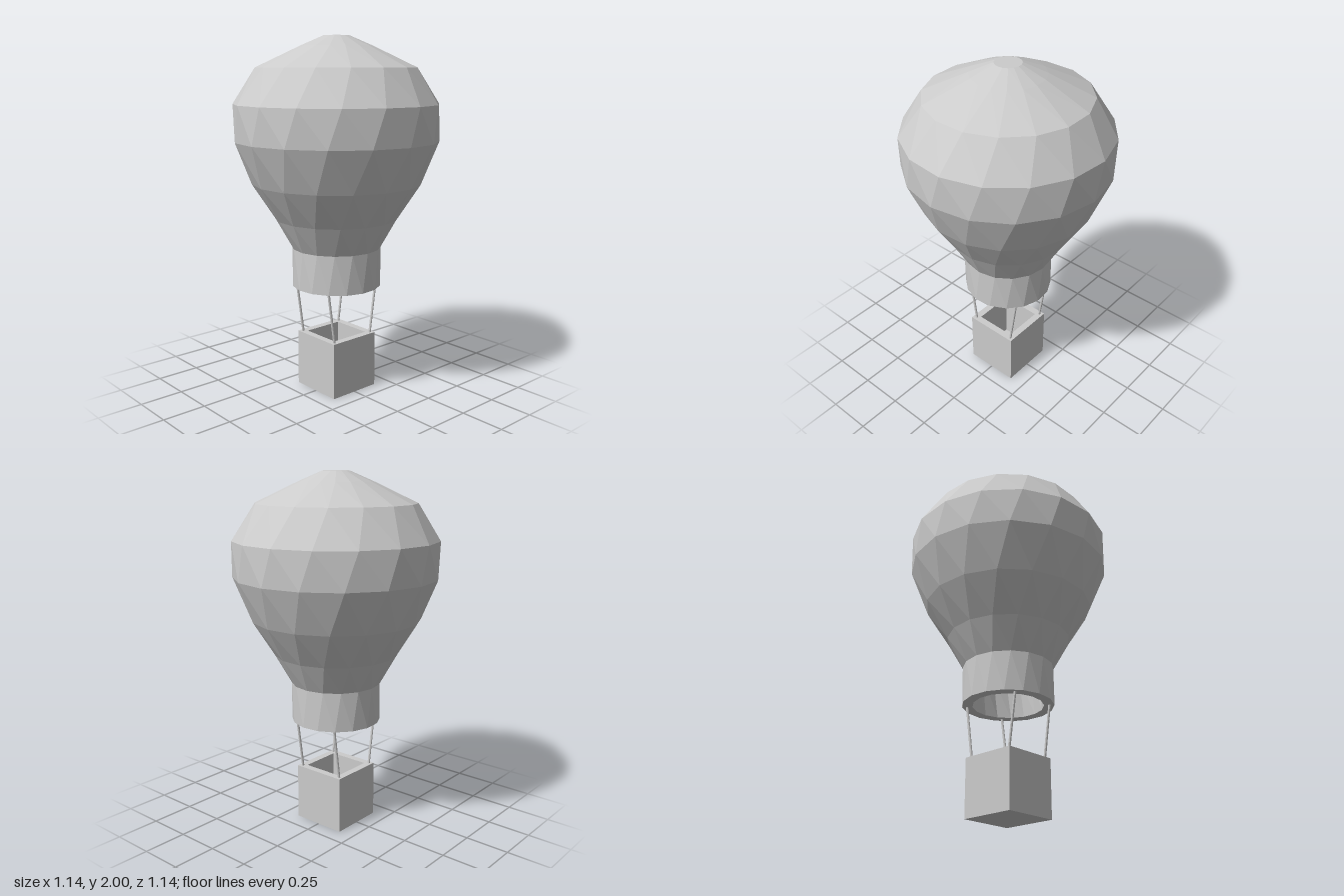
import * as THREE from 'three';

const material = new THREE.MeshStandardMaterial({ color: 0xcccccc, flatShading: true });

function addMesh(parent, geometry, name) {
  const mesh = new THREE.Mesh(geometry, material);
  mesh.name = name;
  parent.add(mesh);
  return mesh;
}

// Thick 16-sided shell: inner wall downwards, lip, outer wall upwards, twisted with height
function envelopeGeometry() {
  const inner = [[0, 1.94], [0.19, 1.89], [0.4, 1.79], [0.513, 1.62], [0.513, 1.45],
    [0.42, 1.22], [0.295, 1.02], [0.195, 0.85], [0.195, 0.612]];
  const outer = [[0.252, 0.612], [0.252, 0.832], [0.345, 1.0], [0.472, 1.2], [0.568, 1.435],
    [0.568, 1.635], [0.443, 1.83], [0.2, 1.945], [0.072, 2], [0, 2]];
  const profile = [...inner, ...outer].map(([r, y]) => new THREE.Vector2(r, y));
  const geometry = new THREE.LatheGeometry(profile, 16);
  const position = geometry.attributes.position;
  const up = new THREE.Vector3(0, 1, 0);
  const v = new THREE.Vector3();
  for (let i = 0; i < position.count; i++) {
    v.fromBufferAttribute(position, i);
    v.applyAxisAngle(up, THREE.MathUtils.degToRad(6.1 + 34 * (v.y - 1.635)));
    position.setXYZ(i, v.x, v.y, v.z);
  }
  geometry.computeVertexNormals();
  return geometry;
}

function square(PathType, half) {
  return new PathType([[-1, -1], [1, -1], [1, 1], [-1, 1]]
    .map(([x, y]) => new THREE.Vector2(x * half, y * half)));
}

export function createModel() {
  const model = new THREE.Group();
  model.name = 'hotAirBalloon';

  addMesh(model, envelopeGeometry(), 'envelope');

  // Open square basket
  const basket = new THREE.Group();
  basket.name = 'basket';
  model.add(basket);
  const frame = square(THREE.Shape, 0.158);
  frame.holes.push(square(THREE.Path, 0.118));
  const walls = new THREE.ExtrudeGeometry(frame, { depth: 0.322, bevelEnabled: false });
  walls.rotateX(-Math.PI / 2);
  addMesh(basket, walls, 'basketWalls');
  addMesh(basket, new THREE.BoxGeometry(0.236, 0.04, 0.236), 'basketFloor').position.y = 0.02;

  // Four ropes from the basket rim to the lip of the envelope
  for (const sx of [-1, 1]) {
    for (const sz of [-1, 1]) {
      const path = new THREE.LineCurve3(
        new THREE.Vector3(sx * 0.133, 0.3, sz * 0.137),
        new THREE.Vector3(sx * 0.181, 0.63, sz * 0.137));
      addMesh(model, new THREE.TubeGeometry(path, 1, 0.007, 8), 'rope');
    }
  }
  return model;
}
